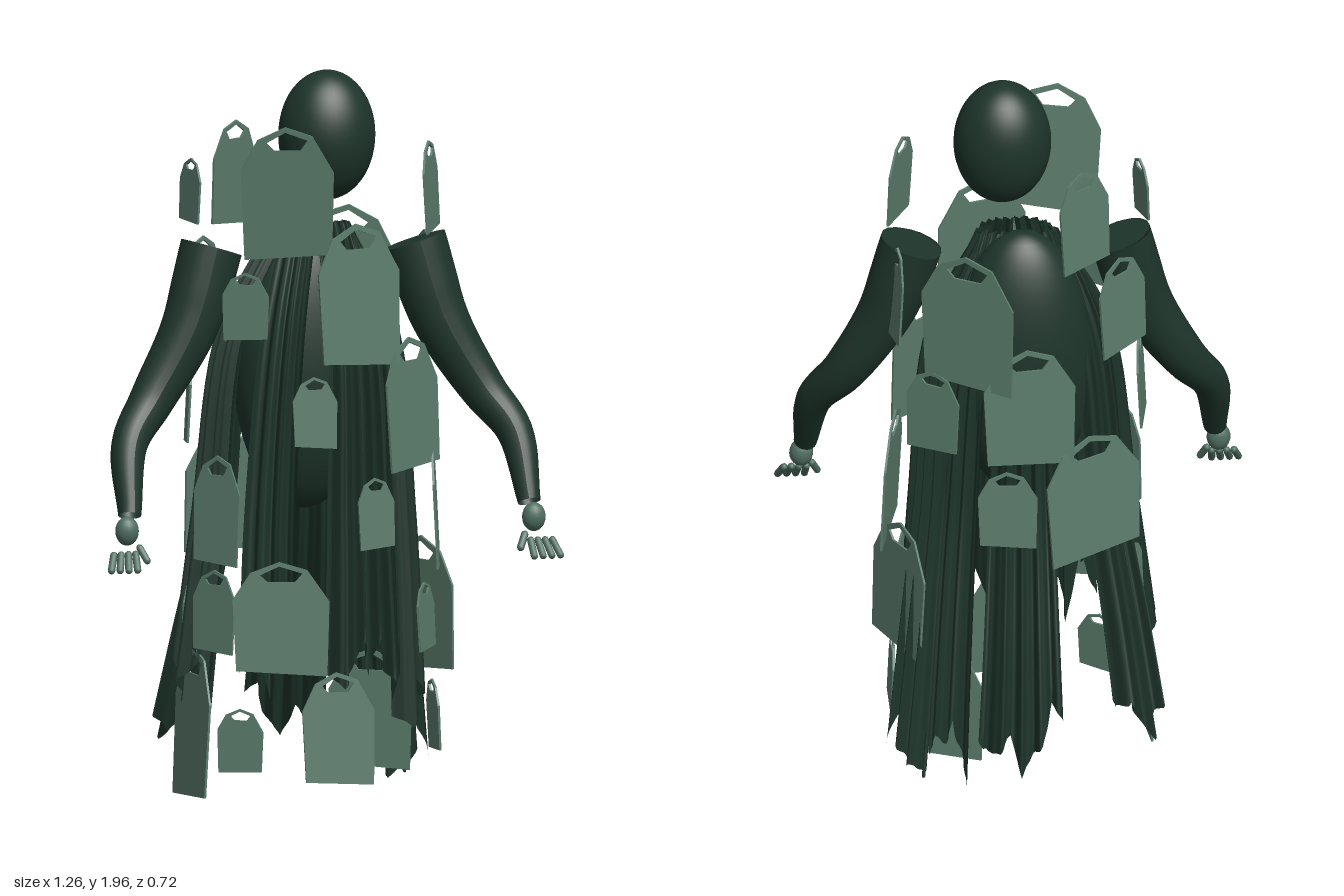
import * as THREE from 'three';

const cloth = new THREE.MeshStandardMaterial({ color: 0x1d342a, side: THREE.DoubleSide });
cloth.name = 'dark green cloth';
const pale = new THREE.MeshStandardMaterial({ color: 0x5c7d6d });
pale.name = 'pale green';
const muted = new THREE.MeshStandardMaterial({ color: 0x4f6e60 });
muted.name = 'muted green';

const V = (x, y, z) => new THREE.Vector3(x, y, z);
const hash = n => { const s = Math.sin(n * 12.9898) * 43758.5453; return s - Math.floor(s); };

function add(parent, name, geometry, material, position = V(0, 0, 0)) {
  const mesh = new THREE.Mesh(geometry, material);
  mesh.name = name;
  mesh.position.copy(position);
  parent.add(mesh);
  return mesh;
}

// Pleated cloth strip hanging along a path, widening to a ragged hem
function strip(points, topWidth, hemWidth, folds, seed) {
  const rows = 24, cols = folds * 12;
  const path = new THREE.CatmullRomCurve3(points.map(p => V(...p)));
  const end = points[points.length - 1];
  const out = V(end[0] * 0.4, 0, end[2] - 0.03).normalize();
  const across = V(out.z, 0, -out.x);
  const pos = [], index = [];
  for (let i = 0; i <= rows; i++) {
    for (let j = 0; j <= cols; j++) {
      const u = j / cols, k = u * folds * 2, n = Math.floor(k);
      const jag = THREE.MathUtils.lerp(hash(seed + n), hash(seed + n + 1), k - n);
      const t = (i / rows) * (1 - 0.16 * jag);
      const width = THREE.MathUtils.lerp(topWidth, hemWidth, Math.pow(t, 0.8));
      const angle = u * folds * Math.PI * 2;
      const pleat = (0.007 + 0.016 * t) * (Math.cos(angle) + 0.35 * Math.cos(angle * 2.3 + seed))
        - 0.12 * width * (2 * u - 1) ** 2;
      const p = path.getPoint(t).addScaledVector(across, (u - 0.5) * width).addScaledVector(out, pleat);
      pos.push(p.x, p.y, p.z);
      if (i < rows && j < cols) {
        const a = i * (cols + 1) + j, b = a + cols + 1;
        index.push(a, b, a + 1, b, b + 1, a + 1);
      }
    }
  }
  const g = new THREE.BufferGeometry();
  g.setAttribute('position', new THREE.Float32BufferAttribute(pos, 3));
  g.setIndex(index);
  g.computeVertexNormals();
  return g;
}

// Tapered sleeve: a tube whose rings are scaled along the path, flattened at the shoulder
function sleeve(path, radii) {
  const segs = 32, sides = 18;
  const g = new THREE.TubeGeometry(path, segs, 1, sides, false);
  const p = g.attributes.position, v = V(0, 0, 0);
  for (let i = 0; i < p.count; i++) {
    const t = Math.floor(i / (sides + 1)) / segs, k = t * (radii.length - 1);
    const n = Math.min(Math.floor(k), radii.length - 2);
    const r = THREE.MathUtils.lerp(radii[n], radii[n + 1], k - n);
    const c = path.getPointAt(t);
    v.fromBufferAttribute(p, i).sub(c).multiplyScalar(r);
    v.z *= THREE.MathUtils.lerp(0.78, 1, t);
    v.add(c);
    p.setXYZ(i, v.x, v.y, v.z);
  }
  g.computeVertexNormals();
  return g;
}

// Tag plate with a clipped top and a hanging hole
function tagGeometry(w, h, skew) {
  const pts = list => list.map(([x, y]) => new THREE.Vector2(x * w, y * h));
  const shape = new THREE.Shape(pts([[-0.46, 0.02 * skew], [0.48, -0.02 * skew], [0.5, 0.65], [0.27, 0.93],
    [-0.02, 1], [-0.32, 0.9], [-0.5, 0.66]]));
  shape.holes.push(new THREE.Path(pts([[-0.22, 0.88], [-0.02, 0.96], [0.22, 0.9], [0.14, 0.82], [-0.14, 0.82]])));
  const g = new THREE.ExtrudeGeometry(shape, { depth: 0.006, bevelEnabled: false });
  return g.translate(0, 0, -0.003);
}

function arm(side) {
  const g = new THREE.Group();
  g.name = side > 0 ? 'leftArm' : 'rightArm';
  const path = new THREE.CatmullRomCurve3([[0.28, 1.53, 0.09], [0.345, 1.32, 0.108], [0.455, 1.13, 0.135],
    [0.53, 1.02, 0.19], [0.55, 0.84, 0.275]].map(([x, y, z]) => V(side * x, y, z)));
  add(g, 'sleeve', sleeve(path, [0.085, 0.083, 0.074, 0.065, 0.054, 0.044, 0.031]), cloth);
  const cap = add(g, 'sleeveTop', new THREE.CircleGeometry(0.085, 18), cloth, path.getPointAt(0));
  cap.lookAt(path.getPointAt(0).sub(path.getTangentAt(0)));
  cap.scale.x = 0.78;
  const palm = add(g, 'palm', new THREE.SphereGeometry(0.034, 16, 12), muted, V(side * 0.56, 0.8, 0.285));
  palm.scale.set(0.95, 1.15, 0.8);
  for (let i = 0; i < 4; i++) {
    const finger = add(g, 'finger', new THREE.CapsuleGeometry(0.01, 0.05, 4, 8), muted,
      V(side * (0.545 + i * 0.022), 0.722, 0.332));
    finger.rotation.set(-0.7, 0, side * (0.05 + i * 0.08));
  }
  const thumb = add(g, 'thumb', new THREE.CapsuleGeometry(0.01, 0.04, 4, 8), muted, V(side * 0.522, 0.74, 0.315));
  thumb.rotation.set(-0.5, 0, -side * 0.4);
  return g;
}

export function createModel() {
  const model = new THREE.Group();
  model.name = 'cloakedFigure';

  // Head and body
  const head = add(model, 'head', new THREE.SphereGeometry(1, 40, 28), cloth, V(0.035, 1.825, 0.1));
  head.scale.set(0.131, 0.175, 0.116);
  const torso = add(model, 'torso', new THREE.SphereGeometry(1, 40, 28), cloth, V(-0.01, 1.2, 0.015));
  torso.scale.set(0.19, 0.395, 0.13);

  // Cloak strips: path, top width, hem width, pleats
  const strips = [
    [[[0, 1.59, 0.02], [0, 1.3, -0.09], [0, 0.8, -0.12], [0.01, 0.42, -0.25], [0.02, 0.1, -0.345]], 0.09, 0.24, 4],
    [[[-0.08, 1.58, 0.04], [-0.18, 1.3, -0.02], [-0.23, 0.8, -0.05], [-0.28, 0.45, -0.13], [-0.32, 0.13, -0.22]], 0.07, 0.16, 3],
    [[[0.06, 1.58, 0.04], [0.13, 1.3, -0.06], [0.17, 0.8, -0.09], [0.2, 0.4, -0.17], [0.225, 0, -0.24]], 0.07, 0.14, 3],
    [[[0.08, 1.58, 0.05], [0.2, 1.3, -0.01], [0.24, 0.8, -0.03], [0.28, 0.4, -0.08], [0.32, 0, -0.14]], 0.07, 0.13, 3],
    [[[0.05, 1.59, 0.1], [0.09, 1.3, 0.17], [0.1, 0.8, 0.2], [0.1, 0.34, 0.235]], 0.09, 0.22, 4],
    [[[-0.04, 1.59, 0.1], [-0.1, 1.3, 0.16], [-0.14, 0.8, 0.18], [-0.15, 0.28, 0.2]], 0.09, 0.16, 3],
    [[[-0.09, 1.58, 0.07], [-0.23, 1.3, 0.09], [-0.29, 0.8, 0.09], [-0.36, 0.19, 0.09]], 0.08, 0.18, 3],
    [[[0.09, 1.58, 0.07], [0.21, 1.3, 0.09], [0.25, 0.8, 0.1], [0.27, 0.22, 0.11]], 0.08, 0.16, 3],
  ];
  strips.forEach(([p, a, b, n], i) => add(model, 'cloakStrip', strip(p, a, b, n, i * 17 + 3), cloth));

  // Arms and hands
  model.add(arm(1), arm(-1));

  // Ring of floating tags: angle from the front, bottom height, height, width, extra turn, outward lean
  const tags = [
    [-21, 1.52, 0.36, 0.25, 0, 0.12], [13, 1.23, 0.38, 0.25, 8], [45, 0.94, 0.35, 0.23, 6], [-8, 1.01, 0.19, 0.12],
    [-42, 1.3, 0.18, 0.13], [-60, 0.69, 0.29, 0.15], [65, 1.57, 0.24, 0.16, 8], [80, 0.65, 0.36, 0.25],
    [58, 0.44, 0.18, 0.12, 8], [107, 0.36, 0.36, 0.25, 4], [142, 0.08, 0.32, 0.23], [90, 0.15, 0.19, 0.13],
    [-85, 0.05, 0.4, 0.25], [102, 1.28, 0.27, 0.1], [135, 1.0, 0.23, 0.16], [154, 1.21, 0.39, 0.27, -11, 0],
    [-150, 1.56, 0.28, 0.17, 15], [-90, 1.6, 0.17, 0.1, 18], [-125, 1.27, 0.27, 0.18],
    [-177, 0.98, 0.34, 0.25, 5, -0.03], [-145, 0.68, 0.35, 0.3, 5], [173, 0.73, 0.22, 0.16],
    [-97, 1.0, 0.25, 0.13], [-24, 0.4, 0.3, 0.26], [22, 0.73, 0.19, 0.11], [3, 0.1, 0.3, 0.2],
    [-45, 0.13, 0.17, 0.13], [-62, 0.45, 0.22, 0.14], [-115, 0.4, 0.25, 0.15],
  ];
  tags.forEach(([deg, y, h, w, turn = 0, lean = -0.05], i) => {
    const a = THREE.MathUtils.degToRad(deg), s = Math.sin(a), c = Math.cos(a);
    const tag = add(model, 'tag', tagGeometry(w, h, i % 2 ? 1 : -1), pale, V(0.335 * s, y, 0.075 + 0.23 * c));
    tag.rotation.order = 'YXZ';
    tag.rotation.set(lean, Math.atan2(s / 0.335, c / 0.23) + THREE.MathUtils.degToRad(turn), 0);
    tag.translateZ(-Math.sin(lean) * h / 2);
  });
  return model;
}
